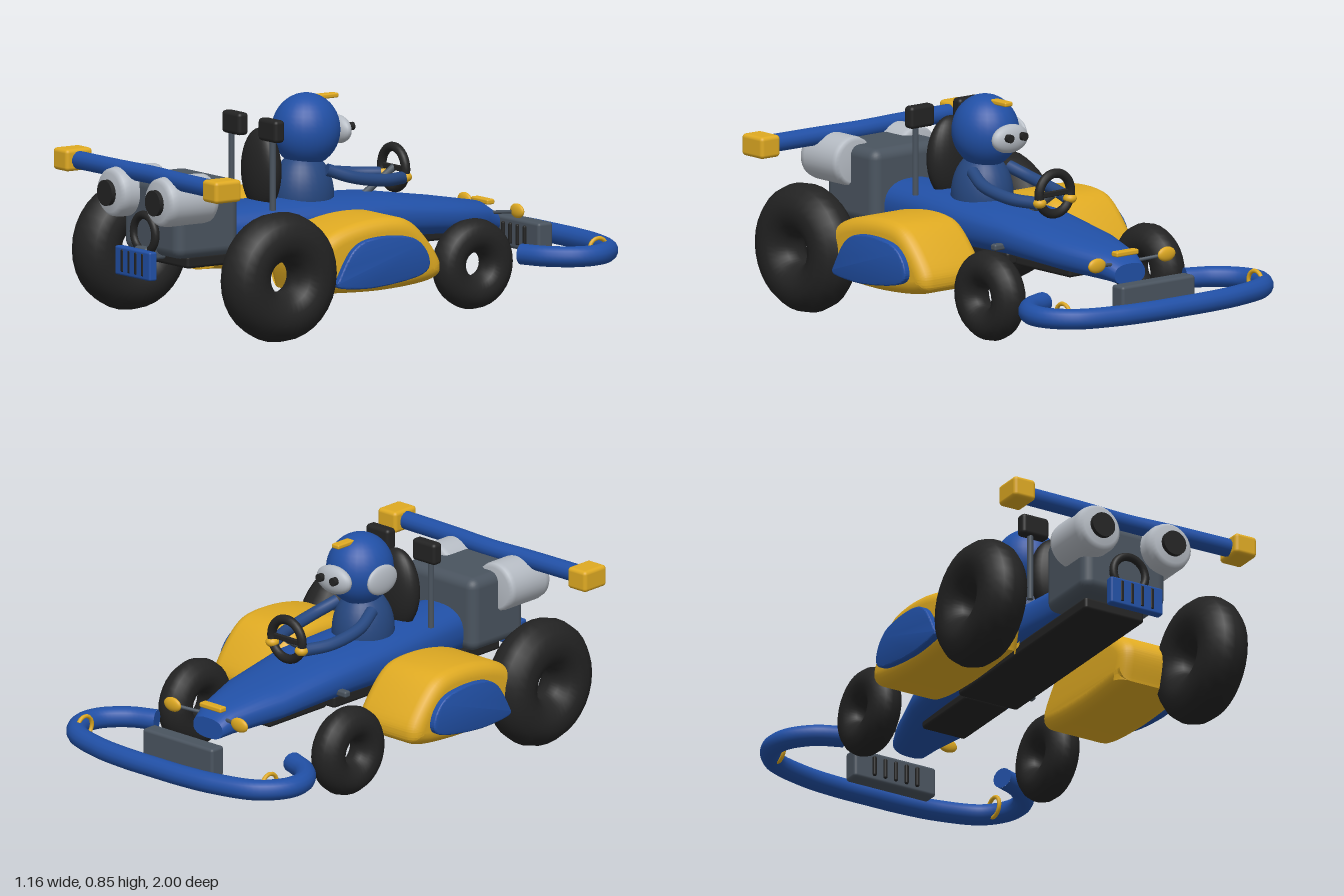
import * as THREE from 'three';
import { toCreasedNormals } from 'three/addons/utils/BufferGeometryUtils.js';
import { RoundedBoxGeometry } from 'three/addons/geometries/RoundedBoxGeometry.js';

const mat = (name, color) => Object.assign(new THREE.MeshStandardMaterial({ color }), { name });
const V = (x, y, z) => new THREE.Vector3(x, y, z);

export function createModel() {
  const root = new THREE.Group();
  root.name = 'goKart';
  const blue = mat('blue paint', 0x2150a6);
  const suit = mat('driver suit blue', 0x26477f);
  const gold = mat('gold trim', 0xdfaa22);
  const black = mat('rubber black', 0x232323);
  const steel = mat('dark steel', 0x4a545f);
  const silver = mat('light silver', 0xb6bcc4);

  const add = (name, geo, m, x = 0, y = 0, z = 0) => {
    const mesh = new THREE.Mesh(geo, m);
    mesh.name = name;
    mesh.position.set(x, y, z);
    root.add(mesh);
    return mesh;
  };
  const box = (name, m, w, h, d, x, y, z, r = 0.012) =>
    add(name, new RoundedBoxGeometry(w, h, d, 3, r), m, x, y, z);
  const ball = (name, m, rx, ry, rz, x, y, z) => {
    const s = add(name, new THREE.SphereGeometry(1, 28, 20), m, x, y, z);
    s.scale.set(rx, ry, rz);
    return s;
  };
  // Round tube along a smooth path, closed at both ends
  const tube = (name, m, pts, r, seg = 40) => {
    const curve = new THREE.CatmullRomCurve3(pts);
    add(name, new THREE.TubeGeometry(curve, seg, r, 14), m);
    for (const t of [0, 1]) {
      const p = curve.getPointAt(t);
      const dir = curve.getTangentAt(t).multiplyScalar(t ? 1 : -1);
      const cap = add(name + 'End', new THREE.CircleGeometry(r, 14), m, p.x, p.y, p.z);
      cap.quaternion.setFromUnitVectors(V(0, 0, 1), dir);
    }
  };

  // Tapered body lofted from rounded sections: z, half width, bottom, top
  const sections = [
    [-0.66, 0.075, 0.25, 0.33], [-0.6, 0.095, 0.255, 0.37], [-0.4, 0.155, 0.265, 0.405],
    [-0.1, 0.185, 0.28, 0.45], [0.2, 0.18, 0.27, 0.465], [0.4, 0.16, 0.265, 0.465], [0.64, 0.13, 0.265, 0.46],
  ];
  const first = sections[0], last = sections[sections.length - 1];
  const centre = ([z, , b, t]) => [z, 0, (b + t) / 2, (b + t) / 2];
  const rings = [centre(first), first, ...sections, last, centre(last)];
  const N = 32, pos = [], idx = [];
  const soft = (v) => Math.sign(v) * Math.abs(v) ** 0.8;
  rings.forEach(([z, w, b, t], i) => {
    for (let j = 0; j < N; j++) {
      const a = (j / N) * Math.PI * 2;
      pos.push(w * soft(Math.cos(a)), (b + t) / 2 + ((t - b) / 2) * soft(Math.sin(a)), z);
      if (i === rings.length - 1) continue;
      const p = i * N + j, q = i * N + ((j + 1) % N);
      idx.push(p, q, p + N, q, q + N, p + N);
    }
  });
  const bodyGeo = new THREE.BufferGeometry();
  bodyGeo.setAttribute('position', new THREE.Float32BufferAttribute(pos, 3));
  bodyGeo.setIndex(idx);
  bodyGeo.computeVertexNormals();
  add('body', bodyGeo, blue);
  box('noseBadge', gold, 0.11, 0.02, 0.035, 0, 0.367, -0.632, 0.006);

  // Floor pan and cross bar
  box('floor', black, 0.26, 0.05, 0.92, 0, 0.275, 0.36);
  box('frontFloor', black, 0.19, 0.04, 0.32, 0, 0.268, -0.26);
  box('crossBar', steel, 0.44, 0.025, 0.03, 0, 0.335, -0.12, 0.008);

  // Side pod, drawn as a z-y outline and extruded across x
  const outline = (pts) => {
    const s = new THREE.Shape();
    s.moveTo(...pts[0]);
    s.splineThru([...pts.slice(1), pts[0]].map((p) => new THREE.Vector2(...p)));
    return s;
  };
  const podShape = outline([[0.5, 0.17], [0.52, 0.3], [0.43, 0.385], [0.3, 0.425], [0.15, 0.435],
    [0.05, 0.41], [-0.04, 0.32], [-0.085, 0.235], [-0.04, 0.18], [0.2, 0.158]]);
  const plateShape = outline([[0.425, 0.21], [0.35, 0.33], [0.25, 0.37], [0.08, 0.358],
    [0.005, 0.285], [0.03, 0.215], [0.24, 0.182], [0.4, 0.19]]);
  const extrude = (shape, width, bevel) => {
    const depth = width - 2 * bevel;
    const g = new THREE.ExtrudeGeometry(shape, { depth, curveSegments: 40, bevelEnabled: true,
      bevelThickness: bevel, bevelSize: bevel, bevelOffset: -bevel, bevelSegments: 5 });
    g.translate(0, 0, -depth / 2).rotateY(-Math.PI / 2);
    return toCreasedNormals(g, 0.7);
  };
  const podGeo = extrude(podShape, 0.31, 0.05);
  const plateGeo = extrude(plateShape, 0.03, 0.006);

  // Everything mirrored left and right
  for (const s of [1, -1]) {
    const side = s > 0 ? 'left' : 'right';
    add(side + 'SidePod', podGeo, gold, s * 0.375, 0, 0);
    add(side + 'PodPanel', plateGeo, blue, s * 0.54, 0, 0);
    add(side + 'RearTire', new THREE.TorusGeometry(0.152, 0.096, 14, 32).rotateY(Math.PI / 2), black, s * 0.487, 0.25, 0.65);
    add(side + 'FrontTire', new THREE.TorusGeometry(0.108, 0.065, 14, 32).rotateY(Math.PI / 2), black, s * 0.393, 0.204, -0.308);

    // Exhaust drum with dark outlet
    const drum = [[0, 0], [0.08, 0], [0.092, 0.012], [0.095, 0.03], [0.095, 0.19], [0.09, 0.215], [0.075, 0.23], [0, 0.235]];
    add(side + 'Exhaust', new THREE.LatheGeometry(drum.map((p) => new THREE.Vector2(...p)), 32).rotateX(Math.PI / 2),
      silver, s * 0.157, 0.52, 0.75);
    add(side + 'ExhaustOutlet', new THREE.CylinderGeometry(0.049, 0.049, 0.04, 28).rotateX(Math.PI / 2),
      black, s * 0.157, 0.52, 0.98);

    box(side + 'WingEnd', gold, 0.095, 0.084, 0.122, s * 0.488, 0.603, 0.913, 0.015);

    // Head support pads on posts
    box(side + 'Pad', black, 0.118, 0.086, 0.048, s * 0.119, 0.743, 0.425, 0.015);
    add(side + 'PadPost', new THREE.CylinderGeometry(0.012, 0.012, 0.28, 12), steel, s * 0.135, 0.58, 0.43);

    // Nose lamps and bumper hoops
    ball(side + 'NoseLamp', gold, 0.042, 0.028, 0.014, s * 0.172, 0.345, -0.67);
    tube(side + 'NoseLampStalk', steel, [V(s * 0.07, 0.33, -0.63), V(s * 0.15, 0.34, -0.66)], 0.007, 4);
    add(side + 'BumperHoop', new THREE.TorusGeometry(0.04, 0.008, 8, 20).rotateY(Math.PI / 2), gold, s * 0.475, 0.225, -0.83);

    // Driver arms and gloves
    tube(side + 'Arm', suit, [V(s * 0.09, 0.565, 0.15), V(s * 0.12, 0.53, 0.05), V(s * 0.115, 0.505, -0.1),
      V(s * 0.075, 0.5, -0.21)], 0.024, 24);
    ball(side + 'Glove', gold, 0.026, 0.02, 0.026, s * 0.075, 0.502, -0.222);
    add(side + 'Eye', new THREE.CylinderGeometry(0.016, 0.016, 0.02, 16).rotateX(Math.PI / 2), black, s * 0.035, 0.71, 0);
  }

  // Front bumper loop
  const half = [[0.35, -0.565], [0.45, -0.61], [0.525, -0.7], [0.53, -0.79], [0.46, -0.885], [0.3, -0.94], [0.15, -0.958]];
  tube('frontBumper', blue, [
    ...half.map(([x, z]) => V(x, 0.212, z)), V(0, 0.212, -0.96),
    ...[...half].reverse().map(([x, z]) => V(-x, 0.212, z)),
  ], 0.04, 90);

  // Front plate with slots on its inner face
  box('frontPlate', steel, 0.36, 0.118, 0.068, 0, 0.23, -0.796, 0.012);
  for (let i = -2; i <= 2; i++) box('frontPlateSlot', black, 0.015, 0.08, 0.02, i * 0.047, 0.23, -0.762, 0.006);

  // Engine, outlet ring and slotted rear plate
  box('engine', steel, 0.365, 0.29, 0.29, 0, 0.44, 0.757, 0.04);
  add('engineRing', new THREE.TorusGeometry(0.07, 0.016, 12, 32), black, 0, 0.38, 0.925);
  add('engineRingCore', new THREE.CylinderGeometry(0.056, 0.056, 0.03, 28).rotateX(Math.PI / 2), steel, 0, 0.38, 0.905);
  box('rearPlateMount', steel, 0.08, 0.05, 0.1, 0, 0.305, 0.9);
  box('rearPlate', blue, 0.23, 0.11, 0.036, 0, 0.27, 0.965, 0.008);
  for (let i = 0; i < 4; i++) box('rearPlateSlot', black, 0.014, 0.085, 0.01, -0.066 + i * 0.044, 0.272, 0.981, 0.004);

  // Rear wing bar, slightly bowed
  tube('rearWing', blue, [V(-0.47, 0.602, 0.915), V(-0.2, 0.602, 0.91), V(0, 0.602, 0.9), V(0.2, 0.602, 0.91), V(0.47, 0.602, 0.915)], 0.035, 24);
  // Thin side pipe behind the right pod
  tube('sidePipe', gold, [V(-0.4, 0.4, 0.615), V(-0.372, 0.37, 0.62), V(-0.36, 0.31, 0.65)], 0.009, 12);

  // Seat
  ball('seat', black, 0.105, 0.16, 0.058, 0, 0.575, 0.388);

  // Driver
  ball('torso', suit, 0.115, 0.17, 0.125, 0, 0.46, 0.2);
  ball('helmet', blue, 0.125, 0.14, 0.133, 0, 0.71, 0.182);
  box('helmetPeak', gold, 0.038, 0.018, 0.09, 0, 0.83, 0.088, 0.006);
  ball('faceMask', silver, 0.085, 0.055, 0.035, 0, 0.7, 0.04);
  ball('earPiece', silver, 0.02, 0.058, 0.08, -0.125, 0.695, 0.17);

  // Steering wheel and column
  add('steeringWheel', new THREE.TorusGeometry(0.078, 0.018, 12, 32), black, 0, 0.53, -0.222);
  box('steeringSpoke', black, 0.15, 0.022, 0.014, 0, 0.53, -0.222, 0.005);
  tube('steeringColumn', steel, [V(0, 0.53, -0.222), V(0, 0.43, -0.07)], 0.014, 4);

  return root;
}
